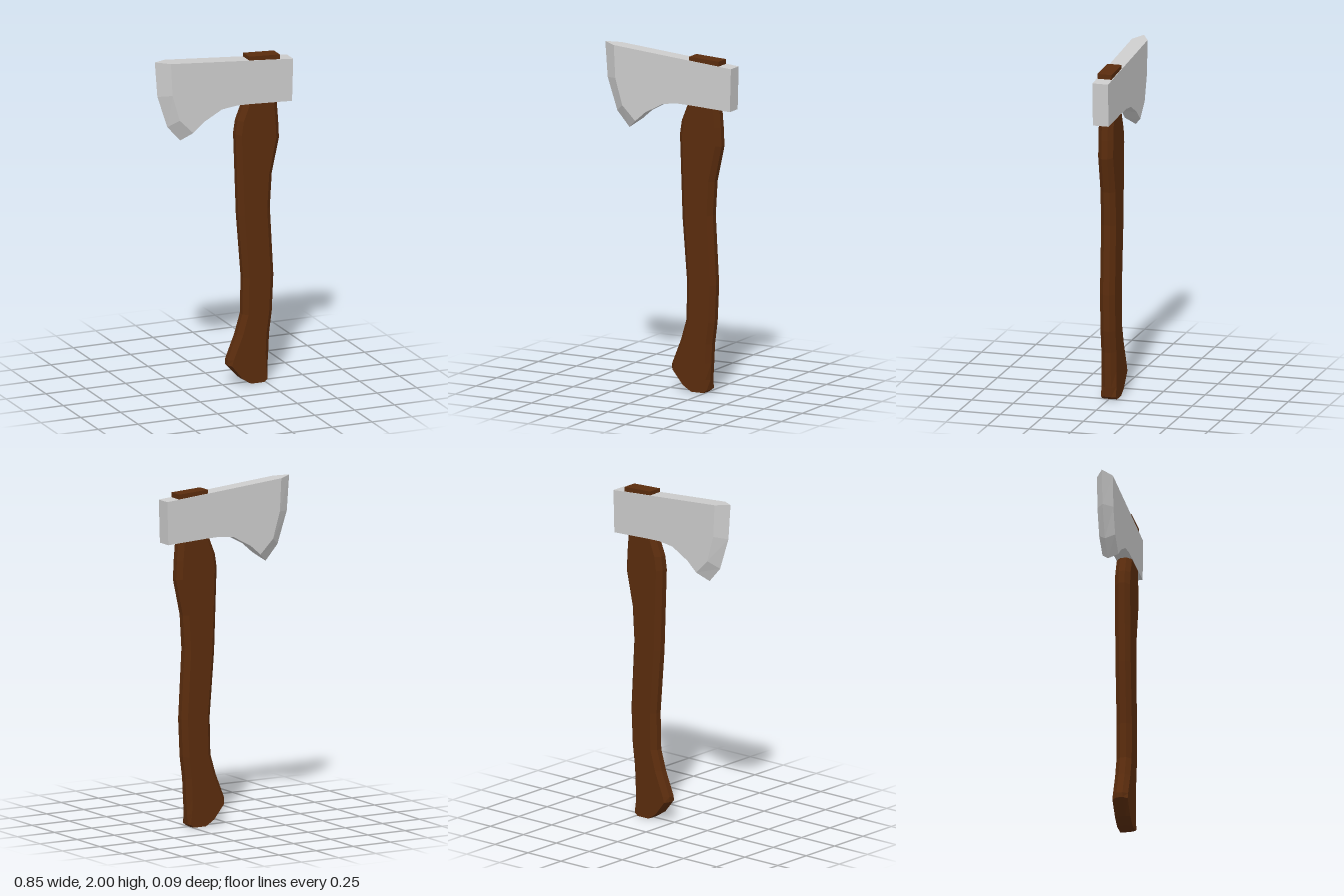
import * as THREE from 'three';

const steel = new THREE.MeshStandardMaterial({ color: 0xcccccc, flatShading: true });
const wood = new THREE.MeshStandardMaterial({ color: 0x5a2c0d, flatShading: true });

// Skin a list of equal-length rings (bottom to top, anticlockwise from above) and cap both ends
function loft(rings) {
  const n = rings[0].length;
  const index = [];
  for (let r = 0; r < rings.length - 1; r++) {
    for (let i = 0; i < n; i++) {
      const a = r * n + i, b = r * n + (i + 1) % n;
      index.push(a, b, b + n, a, b + n, a + n);
    }
  }
  const top = (rings.length - 1) * n;
  for (let i = 1; i < n - 1; i++) {
    index.push(0, i + 1, i, top, top + i, top + i + 1);
  }
  const geometry = new THREE.BufferGeometry();
  geometry.setAttribute('position', new THREE.Float32BufferAttribute(rings.flat(2), 3));
  geometry.setIndex(index);
  const flat = geometry.toNonIndexed();
  flat.computeVertexNormals();
  return flat;
}

function addMesh(group, name, geometry, material) {
  const mesh = new THREE.Mesh(geometry, material);
  mesh.name = name;
  group.add(mesh);
}

// Chamfered eight-sided section between a left and a right outline point
function handleRing([lx, ly, rx, ry, inset = 0.028]) {
  const point = (x, z) => [x, ly + (ry - ly) * (x - lx) / (rx - lx), z];
  const face = 0.045, edge = 0.018;
  return [
    point(rx, edge), point(rx, -edge),
    point(rx - inset, -face), point(lx + inset, -face),
    point(lx, -edge), point(lx, edge),
    point(lx + inset, face), point(rx - inset, face),
  ];
}

export function createModel() {
  const axe = new THREE.Group();
  axe.name = 'axe';

  // Curved handle: left x, left y, right x, right y, chamfer
  const stations = [
    [0.155, 0.005, 0.245, 0.005, 0.005],
    [0.10, 0.04, 0.268, 0.022, 0.006],
    [0.022, 0.125, 0.272, 0.08, 0.018],
    [0.022, 0.155, 0.278, 0.18],
    [0.08, 0.30, 0.283, 0.29],
    [0.115, 0.42, 0.30, 0.42],
    [0.12, 0.64, 0.31, 0.64],
    [0.09, 1.02, 0.288, 1.05],
    [0.082, 1.25, 0.30, 1.25],
    [0.073, 1.51, 0.345, 1.46],
    [0.085, 1.59, 0.34, 1.57],
    [0.125, 1.69, 0.33, 1.69],
    [0.147, 1.80, 0.33, 1.80],
  ];
  addMesh(axe, 'handle', loft(stations.map(handleRing)), wood);

  // Handle end showing above the head
  const plug = [[1.85, 1.85], [1.975, 1.965]].map(([l, r]) => [
    [0.34, r, 0.043], [0.34, r, -0.043], [0.147, l, -0.043], [0.147, l, 0.043],
  ]);
  addMesh(axe, 'handleTop', loft(plug), wood);

  // Inner line of the ground edge and the cutting edge itself, from tip to top
  const half = 0.047;
  const inner = [[-0.205, 1.56], [-0.29, 1.645], [-0.335, 1.80], [-0.345, 1.993]];
  const cutting = [[-0.267, 1.51], [-0.347, 1.60], [-0.41, 1.79], [-0.426, 2.0]];

  // Thick body of the head
  const outline = [
    ...inner.slice().reverse(),
    [-0.14, 1.617], [-0.025, 1.68], [0.07, 1.692], [0.155, 1.69],
    [0.415, 1.677], [0.422, 1.93],
  ].map(([x, y]) => new THREE.Vector2(x, y));
  const body = new THREE.ExtrudeGeometry(new THREE.Shape(outline), {
    depth: half * 2, bevelEnabled: false,
  });
  body.translate(0, 0, -half);
  addMesh(axe, 'headBody', body, steel);

  // Blade tapering to a sharp edge
  const blade = inner.map(([x, y], i) => [
    [x, y, -half], [...cutting[i], 0], [x, y, half],
  ]);
  addMesh(axe, 'bladeEdge', loft(blade), steel);

  return axe;
}
